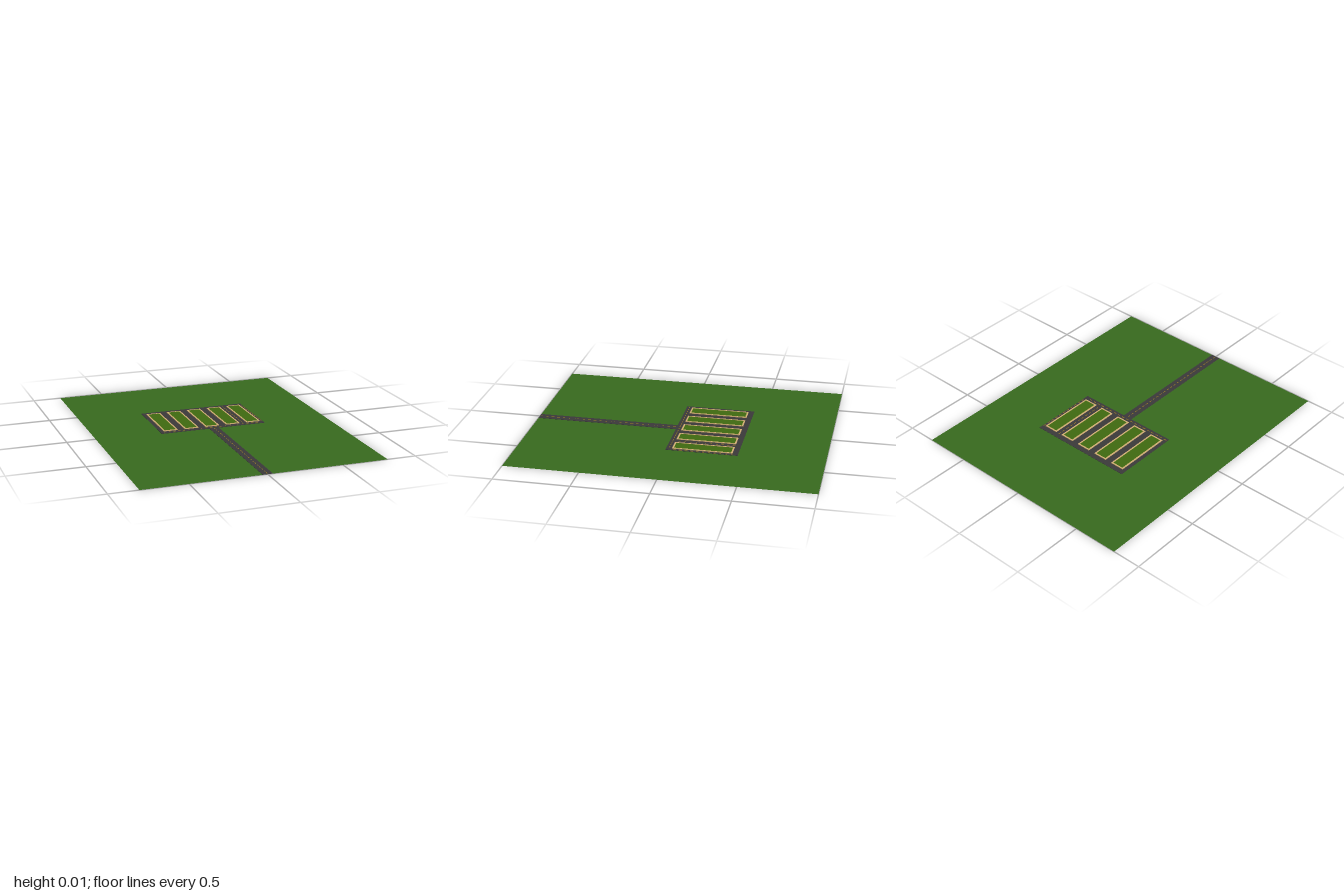
import * as THREE from 'three';
import { mergeGeometries } from 'three/addons/utils/BufferGeometryUtils.js';

const PAVE_H = 0.0015, BED_H = 0.006;

const mat = (color, side = THREE.FrontSide) => new THREE.MeshStandardMaterial({ color, side });
const outline = pts => pts.map(([x, z]) => new THREE.Vector2(x, -z));
const rect = (x0, z0, x1, z1) => outline([[x0, z1], [x1, z1], [x1, z0], [x0, z0]]);

// Lays a plan drawn in x and z flat on the ground, optionally with a height
function plan(points, height = 0, hole = null) {
  const shape = new THREE.Shape(points);
  if (hole) shape.holes.push(new THREE.Path(hole));
  const geo = height
    ? new THREE.ExtrudeGeometry(shape, { depth: height, bevelEnabled: false })
    : new THREE.ShapeGeometry(shape);
  return geo.rotateX(-Math.PI / 2);
}

// Evenly spaced thin strips from one point to another along x or z
function dashes(x0, z0, x1, z1) {
  const dash = 0.021, gap = 0.016, width = 0.005;
  const length = Math.max(x1 - x0, z1 - z0), alongX = x1 - x0 > z1 - z0;
  const parts = [];
  for (let t = 0; t + dash <= length; t += dash + gap) {
    const g = new THREE.PlaneGeometry(alongX ? dash : width, alongX ? width : dash);
    g.rotateX(-Math.PI / 2);
    const m = t + dash / 2;
    g.translate(alongX ? x0 + m : x0, PAVE_H + 0.0008, alongX ? z0 : z0 + m);
    parts.push(g);
  }
  return mergeGeometries(parts);
}

export function createModel() {
  const group = new THREE.Group();
  const add = (name, geometry, material, parent = group) => {
    const mesh = new THREE.Mesh(geometry, material);
    mesh.name = name;
    parent.add(mesh);
    return mesh;
  };

  const grass = mat(0x376a1e, THREE.DoubleSide);
  const asphalt = mat(0x3b393a);
  const soilGreen = mat(0x3f6a10);
  const kerb = mat(0xcfae72);
  const paint = mat(0x9a7a20, THREE.DoubleSide);

  // Outline shared by the paved court with its access road and the lawn around them
  const paved = [[-0.032, 1], [-0.032, 0.04], [-0.366, 0.04], [-0.366, -0.434],
    [0.367, -0.434], [0.367, 0.04], [0.034, 0.04], [0.034, 1]];
  add('lawn', plan(outline([[-0.807, 1], ...paved, [0.807, 1], [0.807, -1], [-0.807, -1]])), grass);
  add('pavedCourtAndRoad', plan(outline(paved), PAVE_H), asphalt);

  // Five raised plots, each with a pale kerb around a green bed
  const w = 0.049, z0 = -0.397, z1 = 0.0, k = 0.010;
  for (let i = 0; i < 5; i++) {
    const plot = new THREE.Group();
    plot.name = 'plot' + (i + 1);
    plot.position.x = 0.003 + (i - 2) * 0.147;
    const inner = rect(-w + k, z0 + k, w - k, z1 - k);
    add('kerb', plan(rect(-w, z0, w, z1), BED_H, inner), kerb, plot);
    add('bed', plan(inner, BED_H - 0.001), soilGreen, plot);
    group.add(plot);
  }

  // Dashed lane markings
  add('roadMarking', dashes(0.001, 0.045, 0.001, 1), paint);
  add('frontLaneMarking', dashes(-0.358, 0.02, 0.365, 0.02), paint);
  add('innerLaneMarking', dashes(0.223, -0.4, 0.223, 0), paint);
  add('outerLaneMarking', dashes(0.36, -0.4, 0.36, 0), paint);

  return group;
}
